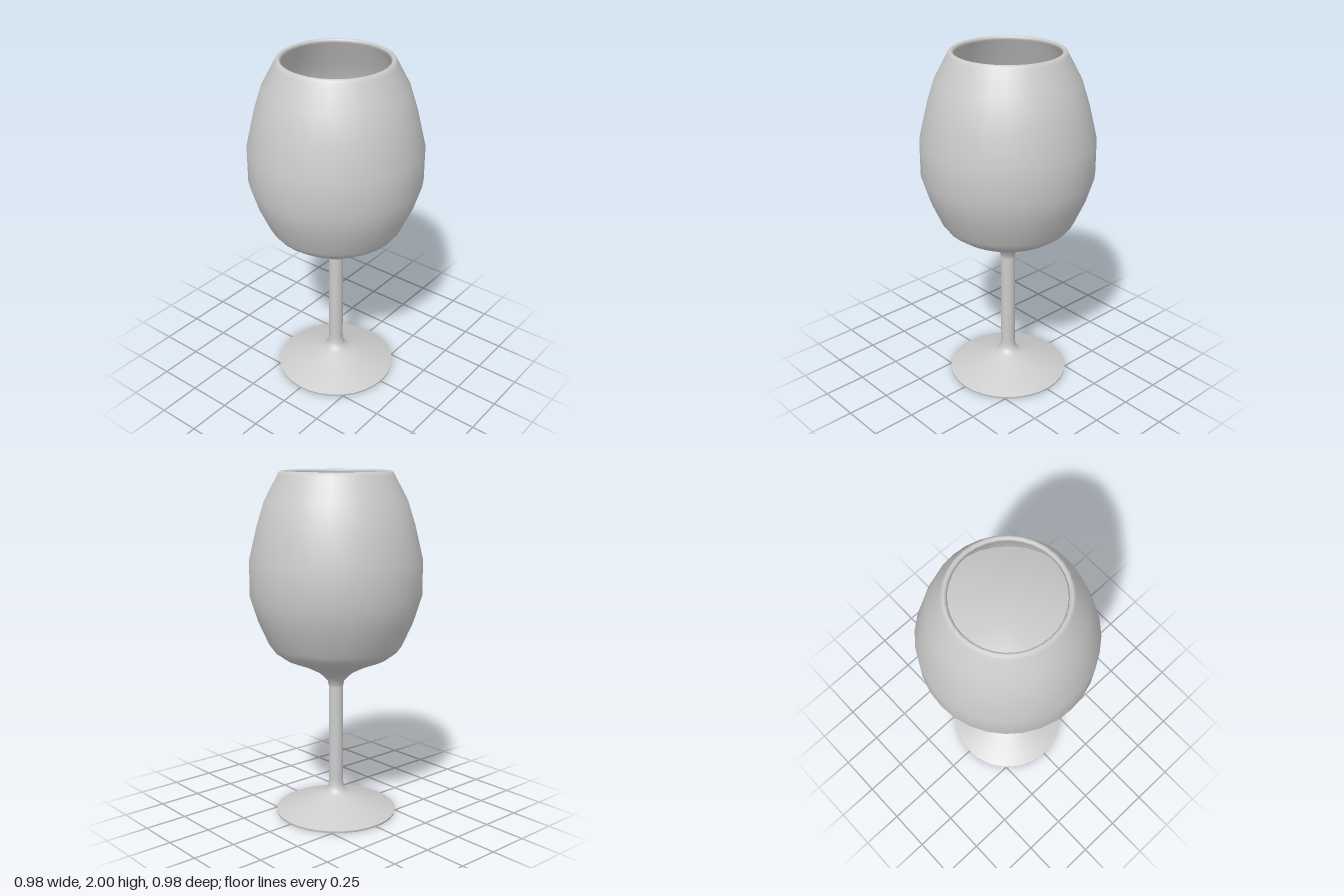
import * as THREE from 'three';

const SEGMENTS = 32;

// Surface of revolution from [radius, height] pairs
function turned(name, profile) {
  const points = profile.map(([r, y]) => new THREE.Vector2(r, y));
  const mesh = new THREE.Mesh(
    new THREE.LatheGeometry(points, SEGMENTS),
    new THREE.MeshStandardMaterial({ color: 0xcccccc })
  );
  mesh.name = name;
  return mesh;
}

export function createModel() {
  const glass = new THREE.Group();
  glass.name = 'wineGlass';

  // Flat underside and thin edge of the foot
  glass.add(turned('footUnderside', [[0, 0], [0.352, 0]]));
  glass.add(turned('footEdge', [[0.352, 0], [0.354, 0.012]]));

  // Sloping foot flowing into the slim stem
  glass.add(turned('footAndStem', [
    [0.354, 0.012], [0.22, 0.065], [0.085, 0.113], [0.058, 0.132],
    [0.045, 0.16], [0.042, 0.2], [0.042, 0.77],
  ]));

  // Bowl: outer wall up to the rounded rim, then the inner wall back down
  glass.add(turned('bowl', [
    [0.042, 0.77], [0.048, 0.8], [0.075, 0.83], [0.105, 0.855], [0.185, 0.898],
    [0.3, 0.945], [0.355, 0.985], [0.385, 1.025], [0.445, 1.16], [0.49, 1.305],
    [0.49, 1.51], [0.443, 1.705], [0.4, 1.84], [0.325, 1.98], [0.318, 1.993],
    [0.307, 2], [0.296, 1.996], [0.29, 1.98], [0.376, 1.83], [0.421, 1.7],
    [0.468, 1.505], [0.468, 1.31], [0.424, 1.17], [0.366, 1.045], [0.28, 0.968],
    [0.15, 0.92], [0, 0.9],
  ]));

  // Drink filling the bowl, with a softly shaded level top
  glass.add(turned('drink', [
    [0, 0.91], [0.15, 0.93], [0.275, 0.975], [0.36, 1.05], [0.418, 1.172],
    [0.462, 1.31], [0.462, 1.505], [0.421, 1.68], [0, 1.68],
  ]));

  return glass;
}
